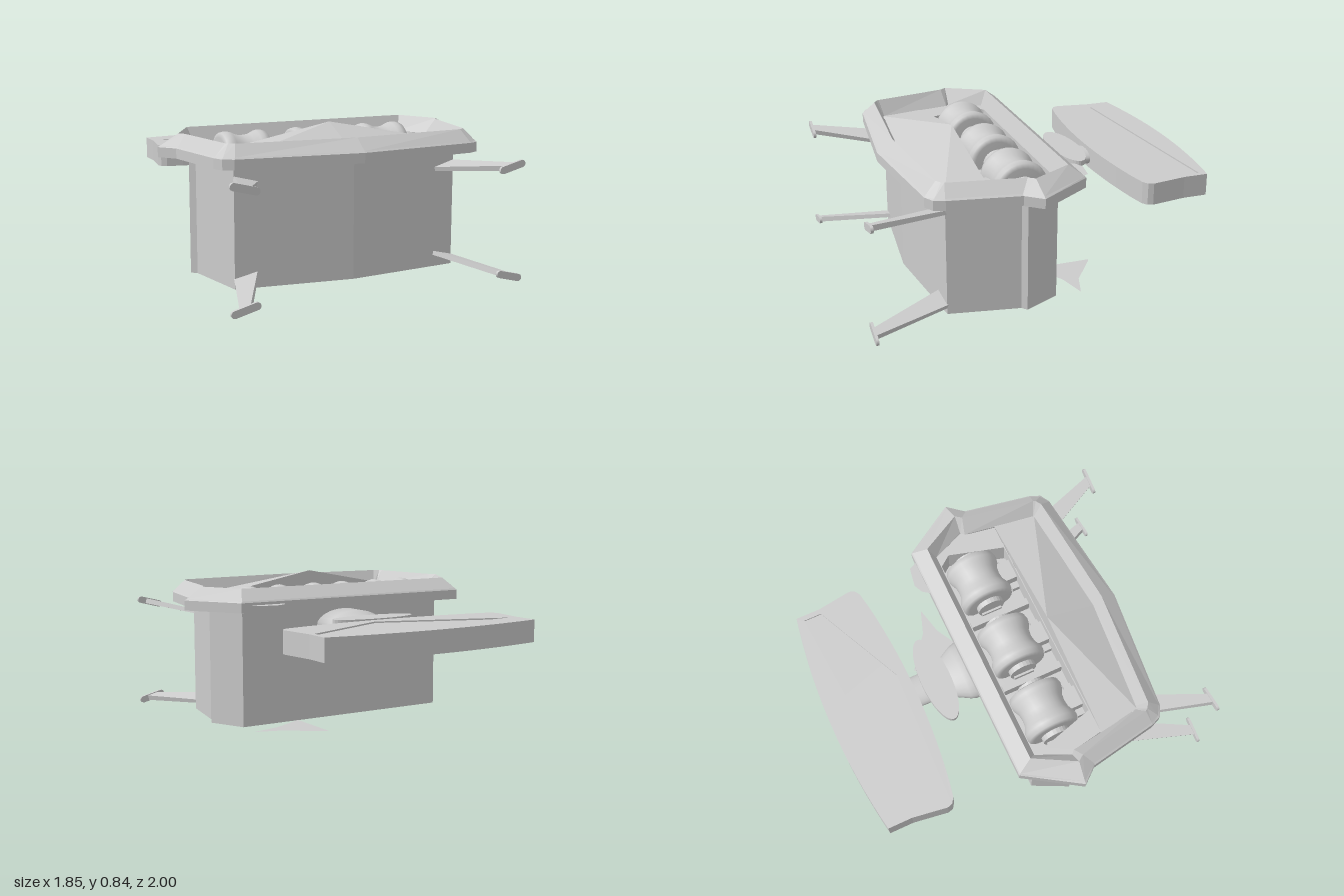
import * as THREE from 'three';

const grey = new THREE.MeshStandardMaterial({ color: 0xcccccc, side: THREE.DoubleSide });
const flat = new THREE.MeshStandardMaterial({ color: 0xcccccc, side: THREE.DoubleSide, flatShading: true });

function add(parent, name, geo, mat = flat, x = 0, y = 0, z = 0) {
  const m = new THREE.Mesh(geo, mat);
  m.name = name;
  m.position.set(x, y, z);
  parent.add(m);
  return m;
}

// full closed outline from a right half that runs back centre to front centre
const mirror = half => [...half, ...half.slice(1, -1).reverse().map(([x, z]) => [-x, z])];

function faces(points) {
  const g = new THREE.BufferGeometry();
  g.setAttribute('position', new THREE.Float32BufferAttribute(points.flat(), 3));
  g.computeVertexNormals();
  return g;
}

// skin through closed rings of [x, y, z]
function loft(rings) {
  const tris = [];
  for (let k = 0; k + 1 < rings.length; k++) {
    const lo = rings[k], hi = rings[k + 1], n = lo.length;
    for (let i = 0; i < n; i++) {
      const j = (i + 1) % n;
      tris.push(lo[i], hi[i], lo[j], lo[j], hi[i], hi[j]);
    }
  }
  return faces(tris);
}
const ring = (half, y) => mirror(half).map(([x, z]) => [x, y, z]);

// plan-view polygon [x, z] raised by a height
const plan = pts => pts.map(([x, z]) => new THREE.Vector2(x, -z));
function slab(pts, height, hole) {
  const s = new THREE.Shape(plan(pts));
  if (hole) s.holes.push(new THREE.Path(plan(hole)));
  return new THREE.ExtrudeGeometry(s, { depth: height, bevelEnabled: false }).rotateX(-Math.PI / 2);
}

// splayed strut with a rounded foot plate; side mirrors x, lift mirrors y
function leg(side, lift) {
  const g = new THREE.Group();
  g.name = lift > 0 ? 'upperLeg' : 'lowerLeg';
  const strut = new THREE.BoxGeometry(1, 1, 1);
  const p = strut.attributes.position;
  for (let i = 0; i < p.count; i++) {
    const root = p.getZ(i) < 0;
    p.setXYZ(i,
      side * (p.getX(i) * side * (root ? 0.14 : 0.06) - (root ? 0.18 : 0)),
      p.getY(i) * (root ? 0.022 : 0.03),
      root ? -0.44 : -0.01);
  }
  strut.computeVertexNormals();
  add(g, 'strut', strut);
  const s = new THREE.Shape();
  s.absarc(0.06, 0, 0.02, -Math.PI / 2, Math.PI / 2);
  s.absarc(-0.06, 0, 0.02, Math.PI / 2, Math.PI * 1.5);
  add(g, 'footPlate', new THREE.ExtrudeGeometry(s, { depth: 0.015, bevelEnabled: false, curveSegments: 8 }), flat, 0, 0, -0.015);
  g.position.set(side * 0.765, lift > 0 ? 0.638 : 0.038, 1);
  g.rotation.z = side * lift * 0.25;
  return g;
}

// waisted spool on an axle, with a front support
function roller(x) {
  const g = new THREE.Group();
  g.name = 'roller';
  const profile = [[0, -0.14], [0.125, -0.14], [0.15, -0.13], [0.157, -0.1], [0.152, -0.075], [0.135, -0.04],
    [0.13, 0], [0.135, 0.04], [0.152, 0.075], [0.157, 0.1], [0.15, 0.13], [0.125, 0.14], [0, 0.14]];
  const turn = pts => new THREE.LatheGeometry(pts.map(([r, h]) => new THREE.Vector2(r, h)), 28).rotateZ(Math.PI / 2);
  add(g, 'spool', turn(profile), grey);
  add(g, 'axle', new THREE.CylinderGeometry(0.08, 0.08, 0.34, 24).rotateZ(Math.PI / 2));
  for (const s of [-1, 1]) add(g, 'bearing', new THREE.BoxGeometry(0.035, 0.1, 0.12), flat, s * 0.165, -0.07, 0);
  add(g, 'support', new THREE.BoxGeometry(0.12, 0.1, 0.12), flat, 0, -0.03, 0.16);
  add(g, 'supportBase', new THREE.BoxGeometry(0.2, 0.05, 0.05), flat, 0, -0.065, 0.195);
  g.position.set(x, 0.635, 0.11);
  return g;
}

export function createModel() {
  const model = new THREE.Group();
  model.name = 'model';

  // hull
  const hull = [[0, -0.055], [0.66, -0.055], [0.76, 0.15], [0.73, 0.175], [0.66, 0.57], [0, 0.64]];
  const bottom = ring(hull, 0.02);
  add(model, 'hull', loft([bottom.map(() => [0, 0.02, 0.3]), bottom, ring(hull, 0.69)]));

  // bevelled rim
  const outer = [[0, -0.185], [0.73, -0.185], [0.925, 0.12], [0.85, 0.21], [0.78, 0.6], [0.755, 0.66], [0.7, 0.69], [0, 0.765]];
  const shoulder = [[0, -0.178], [0.725, -0.178], [0.91, 0.12], [0.84, 0.21], [0.77, 0.6], [0.747, 0.65], [0.695, 0.682], [0, 0.755]];
  const ridge = [[0, -0.1], [0.685, -0.1], [0.81, 0.13], [0.785, 0.165], [0.71, 0.585], [0.7, 0.6], [0.67, 0.62], [0, 0.675]];
  const foot = [[0, -0.06], [0.655, -0.06], [0.74, 0.13], [0.72, 0.15], [0.66, 0.565], [0.655, 0.57], [0.64, 0.575], [0, 0.63]];
  add(model, 'rim', loft([ring(foot, 0.675), ring(outer, 0.675), ring(outer, 0.73), ring(shoulder, 0.738),
    ring(ridge, 0.8), ring(foot, 0.71)]));

  // roller well: shelf with an opening, and its floor
  const shelf = mirror([[0, -0.06], [0.655, -0.06], [0.74, 0.13], [0.72, 0.15], [0.69, 0.33], [0, 0.33]]);
  const opening = mirror([[0, -0.055], [0.59, -0.055], [0.64, 0.01], [0.55, 0.325], [0, 0.325]]);
  add(model, 'wellShelf', slab(shelf, 0.05, opening), flat, 0, 0.655, 0);
  add(model, 'wellFloor', slab(mirror([[0, -0.05], [0.65, -0.05], [0.72, 0.14], [0.69, 0.33], [0, 0.33]]), 0.02), flat, 0, 0.54, 0);
  add(model, 'wellWall', loft([opening, opening].map((o, i) => o.map(([x, z]) => [x, i ? 0.55 : 0.7, z]))));
  for (const x of [-0.215, 0.215]) add(model, 'divider', new THREE.BoxGeometry(0.04, 0.08, 0.36), flat, x, 0.59, 0.14);
  for (const x of [-0.43, 0, 0.43]) model.add(roller(x));

  // peaked front deck with its upright back
  const peak = [0, 0.845, 0.33], front = [0, 0.71, 0.635], deck = [];
  for (const s of [-1, 1]) {
    const side = [s * 0.695, 0.712, 0.33], corner = [s * 0.655, 0.71, 0.57];
    const tris = [[peak, front, corner], [peak, corner, side], [peak, side, [0, 0.7, 0.33]]];
    for (const [a, b, c] of tris) deck.push(...(s > 0 ? [a, b, c] : [a, c, b]));
  }
  add(model, 'frontDeck', faces(deck));

  // legs
  for (const s of [-1, 1]) for (const l of [-1, 1]) model.add(leg(s, l));

  // flared neck and its oval cap
  const neck = [[0, 0], [0.09, 0], [0.09, 0.13], [0.084, 0.165], [0.068, 0.22], [0.055, 0.27], [0.048, 0.31], [0.046, 0.46]];
  add(model, 'neck', new THREE.LatheGeometry(neck.map(([r, h]) => new THREE.Vector2(r, h)), 24)
    .rotateX(-Math.PI / 2).scale(2, 1, 1), grey, 0, 0.56, -0.05);
  add(model, 'neckCap', new THREE.CylinderGeometry(1, 1, 0.03, 40).scale(0.26, 1, 0.085), flat, 0, 0.615, -0.36);

  // curved rear panel with a shallow pocket on top
  const panel = [];
  for (let i = 0; i <= 16; i++) {
    const t = i / 8 - 1;
    panel.push([0.675 * t, -1 + 0.06 * t * t]);
  }
  panel.push([0.675, -0.8], [0.705, -0.6], [0.695, -0.57], [0.665, -0.55]);
  for (let i = 1; i < 16; i++) {
    const t = 1 - i / 8;
    panel.push([0.65 * t, -0.49 - 0.055 * t * t]);
  }
  panel.push([-0.665, -0.55], [-0.695, -0.57], [-0.705, -0.6], [-0.675, -0.8]);
  add(model, 'rearPanel', slab(panel, 0.117), flat, 0, 0.505, 0);
  add(model, 'rearPanelTop', slab(panel, 0.008, [[-0.62, -0.8], [0.645, -0.905], [0.645, -0.8], [0.115, -0.55]]), flat, 0, 0.622, 0);

  // thin fins behind the hull
  const sheet = pts => new THREE.ShapeGeometry(new THREE.Shape(plan(pts))).rotateX(-Math.PI / 2);
  add(model, 'lowerFin', sheet([[0.31, -0.4], [0.33, -0.39], [0.52, -0.25], [0.67, -0.2], [0.5, -0.16], [0.31, -0.055]]), flat, 0, 0.022, 0);
  add(model, 'upperFin', sheet([[0.45, -0.17], [0.49, -0.225], [0.54, -0.248], [0.65, -0.23], [0.68, -0.17]]), flat, 0, 0.715, 0);

  return model;
}
